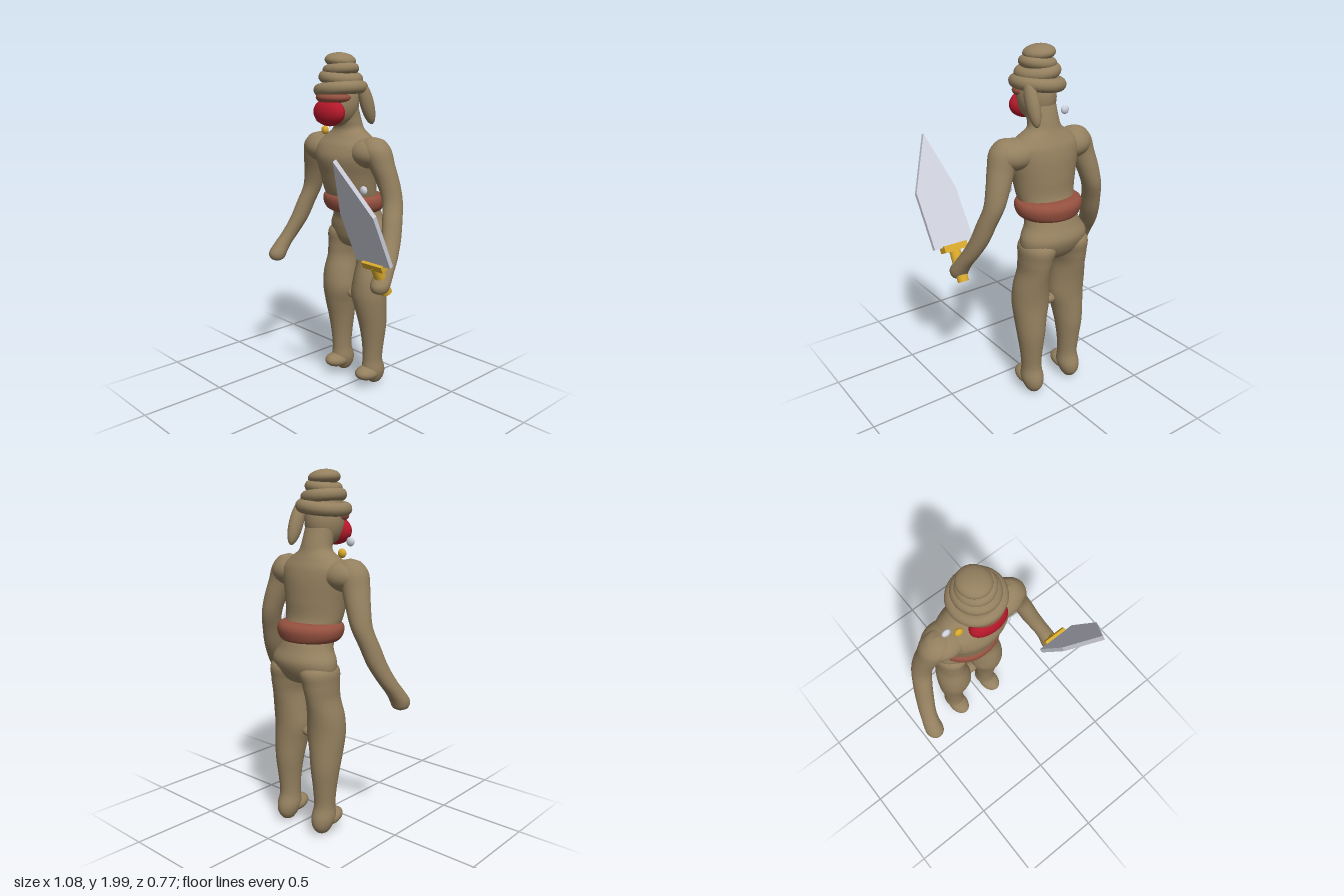
import * as THREE from 'three';

const CX = -0.045; // body's plane of symmetry
const mat = (name, color) => {
  const m = new THREE.MeshStandardMaterial({ color });
  m.name = name;
  return m;
};

// Smooth closed skin through horizontal rings [x, y, z, radiusX, radiusZ], listed bottom to top
function loft(rings, steps = 64, sides = 32) {
  const mid = new THREE.CatmullRomCurve3(rings.map(r => new THREE.Vector3(r[0], r[1], r[2])));
  const rad = new THREE.CatmullRomCurve3(rings.map(r => new THREE.Vector3(r[3], r[4], 0)), false, 'catmullrom', 0.5);
  const pos = [], idx = [];
  for (let i = 0; i <= steps; i++) {
    const c = mid.getPoint(i / steps), r = rad.getPoint(i / steps);
    for (let j = 0; j < sides; j++) {
      const a = j / sides * Math.PI * 2;
      pos.push(c.x + Math.max(r.x, 0.001) * Math.cos(a), c.y, c.z + Math.max(r.y, 0.001) * Math.sin(a));
    }
  }
  for (let i = 0; i < steps; i++) {
    for (let j = 0; j < sides; j++) {
      const k = (j + 1) % sides, a = i * sides + j, b = i * sides + k, c = a + sides, d = b + sides;
      idx.push(a, c, b, b, c, d);
    }
  }
  const g = new THREE.BufferGeometry();
  g.setAttribute('position', new THREE.Float32BufferAttribute(pos, 3));
  g.setIndex(idx);
  g.computeVertexNormals();
  return g;
}

export function createModel() {
  const model = new THREE.Group();
  model.name = 'swordFighter';
  const skin = mat('tan', 0x94805f), sash = mat('rust', 0x94503f), red = mat('red', 0xb5182a);
  const steel = mat('steel', 0xd0d2de), gold = mat('gold', 0xd8a92c);

  const add = (name, geo, material, parent = model) => {
    const m = new THREE.Mesh(geo, material);
    m.name = name;
    parent.add(m);
    return m;
  };
  const blob = (name, material, p, s) => {
    const m = add(name, new THREE.SphereGeometry(1, 32, 20), material);
    m.position.set(...p);
    m.scale.set(...s);
    return m;
  };

  // Torso from crotch to neck
  add('torso', loft([
    [CX, 0.865, -0.235, 0.001, 0.001], [CX, 0.88, -0.235, 0.1, 0.08], [CX, 0.93, -0.24, 0.19, 0.118],
    [CX, 1.0, -0.245, 0.203, 0.135], [CX, 1.07, -0.23, 0.165, 0.125], [CX, 1.14, -0.2, 0.155, 0.13],
    [CX, 1.22, -0.165, 0.172, 0.132], [CX, 1.32, -0.15, 0.19, 0.143], [CX, 1.42, -0.137, 0.215, 0.15],
    [CX, 1.49, -0.142, 0.22, 0.13], [CX, 1.54, -0.15, 0.16, 0.098], [CX, 1.58, -0.15, 0.1, 0.08],
    [CX, 1.63, -0.135, 0.088, 0.08], [CX, 1.7, -0.11, 0.088, 0.08],
  ], 96, 40), skin);

  // Waist sash
  add('sash', loft([
    [CX, 1.095, -0.2, 0.13, 0.11], [CX, 1.105, -0.2, 0.165, 0.145], [CX, 1.13, -0.197, 0.188, 0.16],
    [CX, 1.165, -0.195, 0.196, 0.167], [CX, 1.19, -0.192, 0.188, 0.16], [CX, 1.203, -0.19, 0.165, 0.14],
    [CX, 1.207, -0.19, 0.13, 0.11],
  ], 32, 40), sash);

  // Limbs, mirrored about the body's centre plane
  const arm = [
    [0.442, 0.73, 0.04, 0.001, 0.001], [0.442, 0.748, 0.04, 0.04, 0.042], [0.442, 0.785, 0.035, 0.053, 0.058],
    [0.435, 0.84, 0.0, 0.048, 0.058], [0.42, 0.9, -0.045, 0.046, 0.058], [0.39, 1.0, -0.1, 0.05, 0.06],
    [0.365, 1.1, -0.135, 0.052, 0.06], [0.335, 1.2, -0.165, 0.056, 0.06], [0.305, 1.3, -0.16, 0.066, 0.065],
    [0.27, 1.4, -0.14, 0.076, 0.075], [0.235, 1.48, -0.13, 0.09, 0.083], [0.225, 1.533, -0.13, 0.055, 0.05],
    [0.225, 1.548, -0.13, 0.001, 0.001],
  ];
  const leg = [
    [0.135, 0.01, -0.252, 0.001, 0.001], [0.135, 0.025, -0.252, 0.03, 0.035], [0.135, 0.06, -0.25, 0.052, 0.062],
    [0.135, 0.11, -0.24, 0.064, 0.075], [0.135, 0.18, -0.232, 0.057, 0.063], [0.137, 0.28, -0.232, 0.064, 0.069],
    [0.137, 0.4, -0.228, 0.08, 0.085], [0.133, 0.5, -0.215, 0.093, 0.097], [0.125, 0.6, -0.205, 0.108, 0.105],
    [0.128, 0.7, -0.213, 0.1, 0.107], [0.125, 0.8, -0.232, 0.083, 0.108], [0.118, 0.88, -0.24, 0.09, 0.115],
    [0.105, 0.97, -0.243, 0.095, 0.115], [0.1, 1.03, -0.235, 0.001, 0.001],
  ];
  for (const [side, s] of [['left', 1], ['right', -1]]) {
    const place = rings => rings.map(([x, ...rest]) => [CX + s * x, ...rest]);
    add(side + 'Arm', loft(place(arm)), skin);
    add(side + 'Leg', loft(place(leg)), skin);
    blob(side + 'Shoulder', skin, [CX + s * 0.185, 1.455, -0.135], [0.13, 0.085, 0.108]);
    const foot = blob(side + 'Foot', skin, [CX + s * 0.135, 0.095, -0.19], [0.062, 0.045, 0.088]);
    foot.rotation.x = -0.1;
  }
  blob('kneeBridge', skin, [CX, 0.572, -0.205], [0.05, 0.03, 0.04]);

  // Head, brow band and mask
  blob('head', skin, [CX, 1.73, -0.08], [0.103, 0.135, 0.115]);
  blob('browBand', sash, [CX, 1.757, -0.035], [0.108, 0.042, 0.096]);
  const mask = add('mask', new THREE.SphereGeometry(1, 40, 24, 0, Math.PI * 2, 0.75, Math.PI - 0.75), red);
  mask.position.set(CX, 1.677, 0.002);
  mask.scale.set(0.112, 0.077, 0.061);
  const lid = add('maskTop', new THREE.CircleGeometry(Math.sin(0.75), 40), red, mask);
  lid.rotation.x = -Math.PI / 2;
  lid.position.y = Math.cos(0.75);

  // Coiled turban: tilted rings, a core and a cap
  const coils = [[1.803, 0.117, 0.036, 0.1], [1.862, 0.091, 0.034, -0.1], [1.908, 0.072, 0.03, 0.1]];
  for (const [y, R, r, tilt] of coils) {
    const g = new THREE.TorusGeometry(R, r, 16, 48).rotateX(Math.PI / 2);
    const coil = add('turbanCoil', g, skin);
    coil.position.set(CX, y, -0.087);
    coil.rotation.z = tilt;
  }
  add('turbanCore', new THREE.CylinderGeometry(0.07, 0.115, 0.14, 32).translate(CX, 1.86, -0.088), skin);
  blob('turbanCap', skin, [-0.052, 1.957, -0.09], [0.087, 0.043, 0.088]).rotation.z = -0.1;

  // Hanging turban tail
  blob('turbanTail', skin, [0.062, 1.725, -0.187], [0.037, 0.128, 0.042]).rotation.x = 0.36;

  // Loose beads
  blob('shoulderBead', steel, [-0.235, 1.63, -0.09], [0.025, 0.025, 0.015]);
  blob('neckBead', gold, [-0.17, 1.565, -0.08], [0.025, 0.025, 0.018]);
  blob('sideBead', steel, [0.145, 1.25, -0.085], [0.025, 0.025, 0.015]);

  // Sword, leaning forward from the left hand
  const sword = new THREE.Group();
  sword.name = 'sword';
  sword.position.set(0.4, 0.92, 0.085);
  sword.rotation.x = 0.47;
  model.add(sword);
  const outline = new THREE.Shape([[-0.125, 0], [0.122, 0], [0.137, 0.325], [0, 0.64], [-0.105, 0.31]]
    .map(p => new THREE.Vector2(...p)));
  const blade = new THREE.ExtrudeGeometry(outline, { depth: 0.024, bevelEnabled: false });
  add('blade', blade.translate(0, 0, -0.012), steel, sword);
  add('guard', new THREE.BoxGeometry(0.145, 0.038, 0.06).translate(0, -0.012, 0), gold, sword);
  add('grip', new THREE.CylinderGeometry(0.032, 0.032, 0.19, 20).translate(0, -0.115, 0), gold, sword);

  return model;
}
